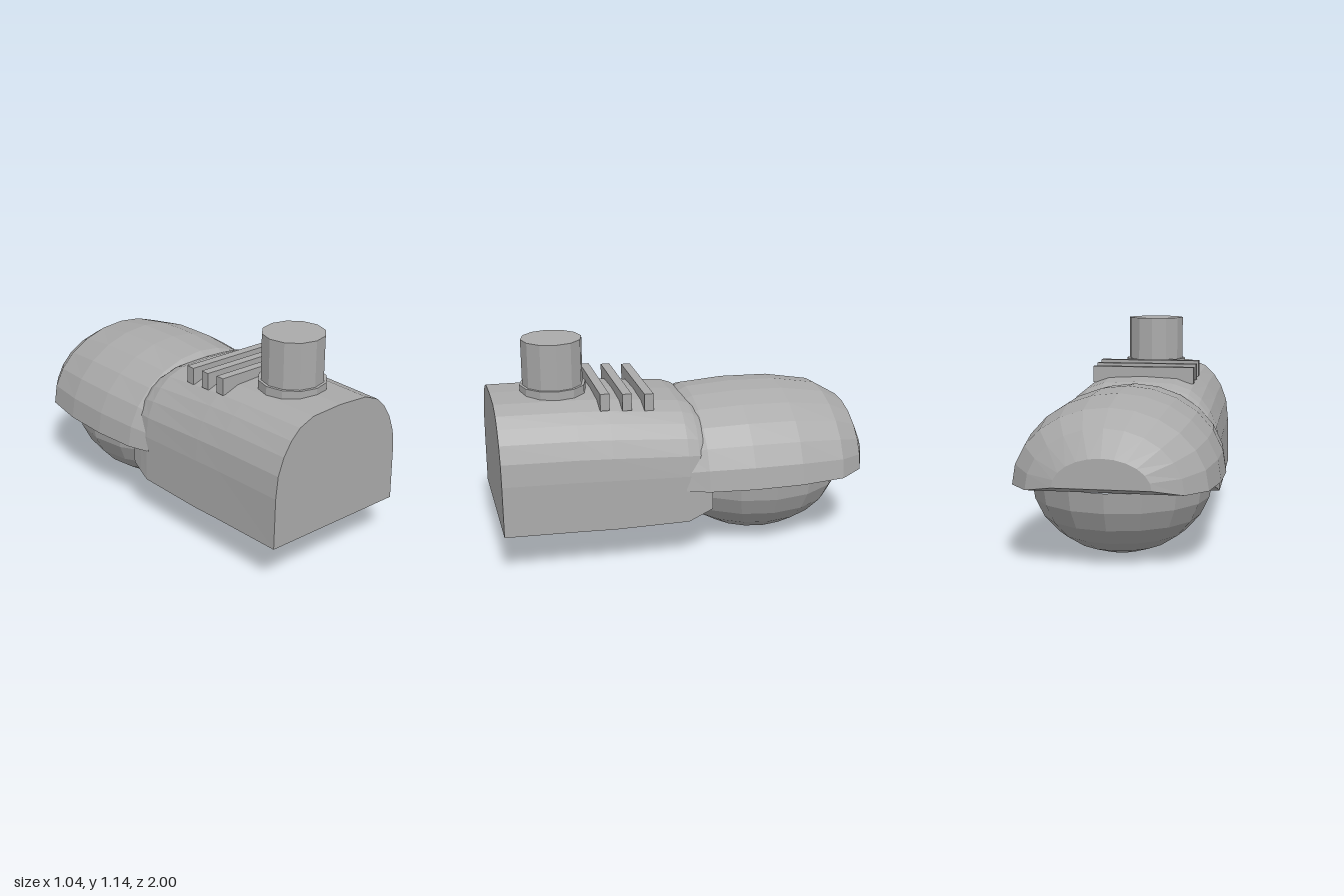
import * as THREE from 'three';

// Faceted copy of a geometry: every face gets its own normal
function facet(geometry) {
  const g = geometry.index ? geometry.toNonIndexed() : geometry;
  g.computeVertexNormals();
  return g;
}

// Closed skin through sections ordered front (+z) to back (-z).
// Each section is [z, halfWidth, bottom, top]; the profile is in 0..1 units.
function loft(profile, sections) {
  const n = profile.length;
  const pos = [], idx = [];
  for (const [z, w, y0, y1] of sections) {
    for (const [u, v] of profile) pos.push(u * w, y0 + v * (y1 - y0), z);
  }
  for (let i = 0; i < sections.length - 1; i++) {
    for (let j = 0; j < n; j++) {
      const a = i * n + j, b = i * n + (j + 1) % n;
      idx.push(a, a + n, b, b, a + n, b + n);
    }
  }
  const last = (sections.length - 1) * n;
  for (let j = 1; j < n - 1; j++) {
    idx.push(0, j, j + 1, last, last + j + 1, last + j);
  }
  const g = new THREE.BufferGeometry();
  g.setAttribute('position', new THREE.Float32BufferAttribute(pos, 3));
  g.setIndex(idx);
  return facet(g);
}

// Completes a right-half profile (bottom to top centre) with its mirror
function mirrored(half) {
  return [...half, ...half.slice(0, -1).reverse().map(([u, v]) => [-u, v])];
}

export function createModel() {
  const model = new THREE.Group();
  model.name = 'streetLampHead';
  const grey = new THREE.MeshStandardMaterial({ color: 0xaaaaaa });
  grey.name = 'grey';

  const add = (name, geometry, x = 0, y = 0, z = 0) => {
    const mesh = new THREE.Mesh(geometry, grey);
    mesh.name = name;
    mesh.position.set(x, y, z);
    model.add(mesh);
    return mesh;
  };

  // Housing with straight sides and an arched top
  const arch = mirrored([
    [1, 0], [0.99, 0.42], [0.96, 0.6], [0.88, 0.74],
    [0.77, 0.85], [0.64, 0.93], [0.43, 0.985], [0, 1],
  ]);
  add('housing', loft(arch, [
    [1, 0.41, 0.23, 0.875],
    [0.6, 0.426, 0.225, 0.867],
    [0.43, 0.435, 0.222, 0.86],
    [0.04, 0.452, 0.23, 0.825],
    [-0.02, 0.446, 0.255, 0.802],
    [-0.09, 0.435, 0.28, 0.75],
  ]));

  // Domed hood over the lamp
  const dome = [];
  for (let k = 0; k <= 12; k++) {
    const a = (k * Math.PI) / 12;
    dome.push([Math.cos(a), Math.sin(a)]);
  }
  add('hood', loft(dome, [
    [0.055, 0.45, 0.4, 0.77],
    [-0.06, 0.492, 0.4, 0.826],
    [-0.3, 0.52, 0.4, 0.84],
    [-0.56, 0.52, 0.4, 0.832],
    [-0.8, 0.485, 0.4, 0.79],
    [-0.935, 0.385, 0.402, 0.71],
    [-1, 0.24, 0.43, 0.577],
  ]));

  // Lamp bowl hanging below the hood
  const bowl = new THREE.SphereGeometry(1, 16, 6, 0, Math.PI * 2, Math.PI / 2, Math.PI / 2);
  bowl.scale(0.465, 0.395, 0.505);
  add('lampBowl', facet(bowl), 0, 0.4, -0.44);

  // Sensor and its collar
  add('sensorCollar', facet(new THREE.CylinderGeometry(0.175, 0.175, 0.065, 12)), 0, 0.873, 0.667);
  add('sensor', facet(new THREE.CylinderGeometry(0.16, 0.16, 0.27, 12)), 0, 1.013, 0.667);

  // Cooling fins across the housing
  for (let i = 0; i < 3; i++) {
    add('coolingFin', new THREE.BoxGeometry(0.57, 0.09, 0.048), 0, 0.865 - i * 0.009, 0.445 - i * 0.116);
  }

  return model;
}
